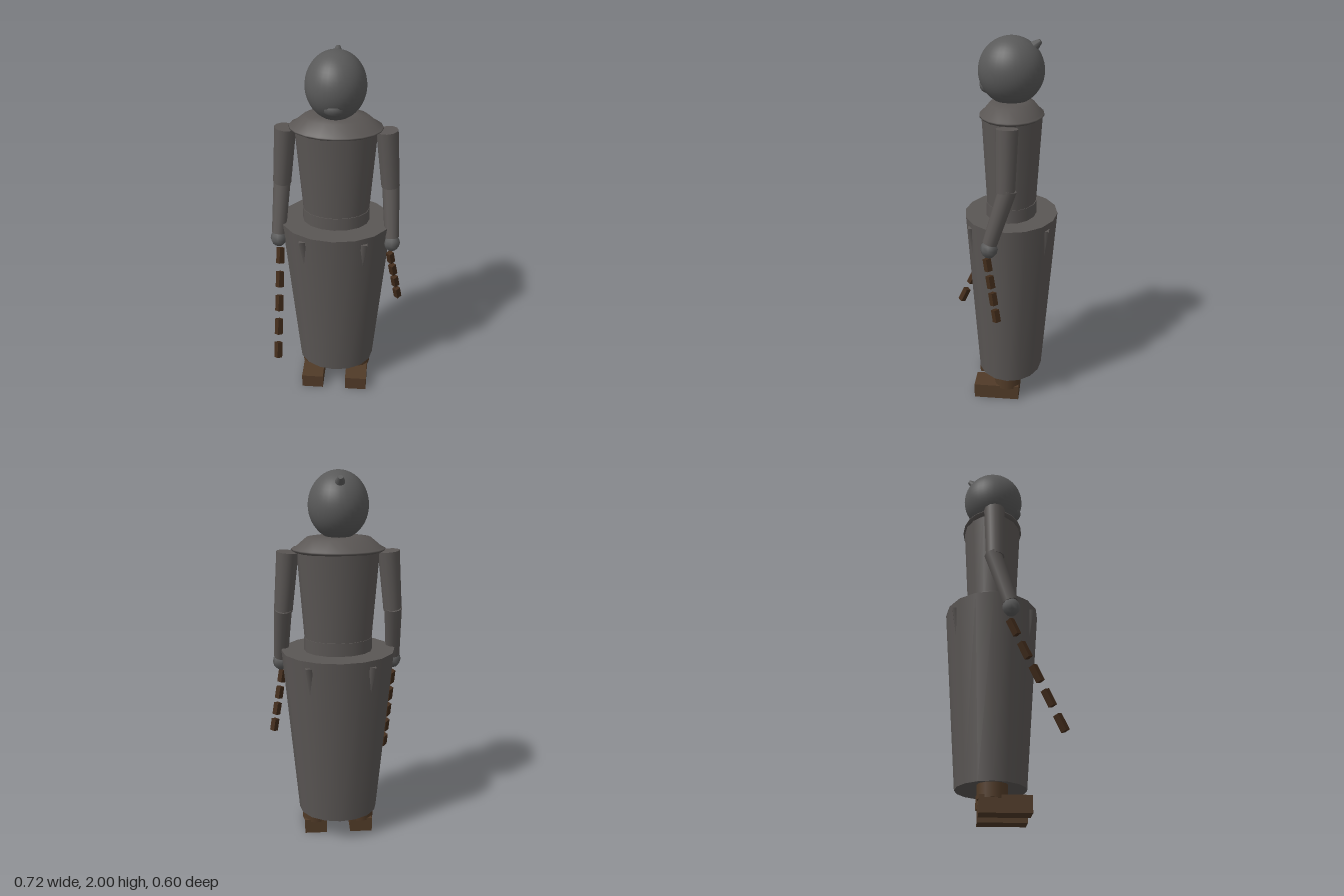
import * as THREE from 'three';

const mat = (name, color) => new THREE.MeshStandardMaterial({ name, color });

export function createModel() {
  const model = new THREE.Group();
  model.name = 'robedFigure';
  const cloth = mat('robeGrey', 0x5a5654);
  const skin = mat('headGrey', 0x595959);
  const leather = mat('bootBrown', 0x503a27);
  const bead = mat('chainBrown', 0x412b1a);

  // the body axis sits slightly right of and behind the centre
  const body = new THREE.Group();
  body.name = 'body';
  body.position.set(-0.012, 0, -0.05);
  model.add(body);

  const add = (name, geometry, material, parent = body) => {
    const mesh = new THREE.Mesh(geometry, material);
    mesh.name = name;
    parent.add(mesh);
    return mesh;
  };

  // elliptical frustum standing between two heights
  const frustum = (name, y0, y1, r0, r1, depth) => {
    const g = new THREE.CylinderGeometry(r1, r0, y1 - y0, 16);
    g.scale(1, 1, depth);
    g.translate(0, (y0 + y1) / 2, 0);
    return add(name, g, cloth);
  };

  // places a geometry that runs along y between two points
  const UP = new THREE.Vector3(0, 1, 0);
  const span = (name, from, to, r0, r1, sides, material, twist = 0) => {
    const a = new THREE.Vector3(...from), b = new THREE.Vector3(...to);
    const dir = b.clone().sub(a);
    const g = new THREE.CylinderGeometry(r1, r0, dir.length(), sides);
    g.rotateY(twist);
    const mesh = add(name, g, material);
    mesh.position.copy(a).add(b).multiplyScalar(0.5);
    mesh.quaternion.setFromUnitVectors(UP, dir.normalize());
    return mesh;
  };

  const ball = (name, x, y, z, rx, ry, rz, w, h, material) => {
    const mesh = add(name, new THREE.SphereGeometry(1, w, h), material);
    mesh.position.set(x, y, z);
    mesh.scale.set(rx, ry, rz);
    return mesh;
  };

  // robe
  frustum('skirt', 0.14, 1.08, 0.217, 0.3, 0.823);
  frustum('belt', 1.07, 1.15, 0.18, 0.18, 0.75);
  frustum('torso', 1.08, 1.605, 0.172, 0.212, 0.74);
  const collarProfile = [[0, 1.6], [0.22, 1.6], [0.24, 1.61], [0.238, 1.617],
    [0.222, 1.622], [0.165, 1.67], [0.1, 1.68], [0, 1.68]]
    .map(([r, y]) => new THREE.Vector2(r, y));
  const collar = add('collar', new THREE.LatheGeometry(collarProfile, 20), cloth);
  collar.scale.z = 0.69;

  // head with muzzle and topknot
  ball('head', 0, 1.83, 0.004, 0.152, 0.17, 0.167, 32, 24, skin);
  ball('muzzle', 0, 1.757, 0.11, 0.06, 0.045, 0.055, 16, 10, skin);
  span('topknot', [0, 1.93, -0.085], [0, 1.975, -0.138], 0.037, 0.012, 10, skin);

  for (const s of [-1, 1]) {
    // arms and fists
    span('upperArm', [s * 0.285, 1.29, 0.004], [s * 0.257, 1.6, 0], 0.048, 0.056, 12, cloth);
    span('forearm', [s * 0.303, 1.02, 0.08], [s * 0.286, 1.305, -0.008], 0.038, 0.046, 12, cloth);
    ball('hand', s * 0.304, 0.99, 0.084, 0.045, 0.048, 0.045, 8, 6, skin);

    // shallow tapering pleats, front and back
    for (const f of [-1, 1]) {
      span('pleat', [s * 0.14, 0.8, f * 0.171], [s * 0.163, 1.045, f * 0.194],
        0.006, 0.024, 4, cloth, Math.PI / 4);
    }

    // legs and boots
    const leg = add('leg', new THREE.CylinderGeometry(0.074, 0.074, 0.12, 12), leather);
    leg.position.set(s * 0.128, 0.13, 0.003);
    const boot = add('boot', new THREE.BoxGeometry(0.124, 0.083, 0.25), leather);
    boot.position.set(s * 0.128, 0.0415, 0.062);
  }

  // hanging chains of square links, placed from the first to the last centre
  const chain = (name, first, last, count, length, radius) => {
    const a = new THREE.Vector3(...first), b = new THREE.Vector3(...last);
    const half = b.clone().sub(a).normalize().multiplyScalar(length / 2);
    for (let i = 0; i < count; i++) {
      const c = a.clone().lerp(b, i / (count - 1));
      const link = span(name, c.clone().add(half).toArray(), c.clone().sub(half).toArray(),
        radius, radius, 4, bead);
      link.geometry = link.geometry.toNonIndexed();
      link.geometry.computeVertexNormals();
    }
  };
  chain('rightChainLink', [-0.299, 0.882, 0.095], [-0.299, 0.395, 0.315], 5, 0.087, 0.0225);
  chain('leftChainLink', [0.302, 0.9, 0.092], [0.348, 0.633, 0.045], 4, 0.066, 0.0215);

  return model;
}
